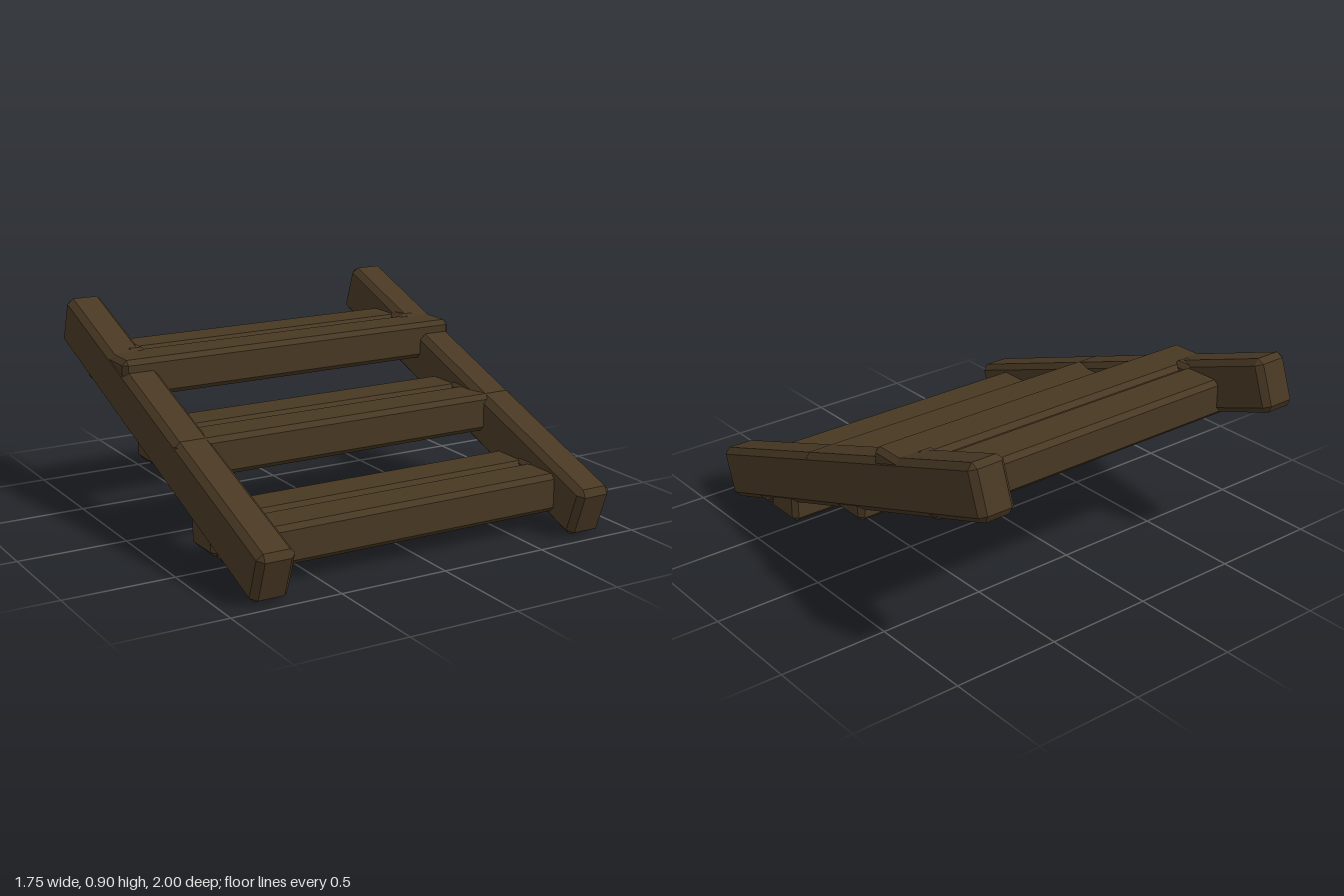
import * as THREE from 'three';
import { ConvexGeometry } from 'three/addons/geometries/ConvexGeometry.js';

// Box with 45 degree chamfers on every edge, flat faced
function chamferBox(w, h, d, c) {
  const points = [];
  for (const x of [-1, 1]) for (const y of [-1, 1]) for (const z of [-1, 1]) {
    const [a, b, e] = [w / 2, h / 2, d / 2];
    points.push(
      new THREE.Vector3(x * a, y * (b - c), z * (e - c)),
      new THREE.Vector3(x * (a - c), y * b, z * (e - c)),
      new THREE.Vector3(x * (a - c), y * (b - c), z * e)
    );
  }
  return new ConvexGeometry(points);
}

export function createModel() {
  const model = new THREE.Group();
  model.name = 'woodenSteps';
  const wood = new THREE.MeshStandardMaterial({ color: 0x483823 });
  wood.name = 'darkWood';
  wood.flatShading = true;

  const add = (name, geometry, x, y, z) => {
    const mesh = new THREE.Mesh(geometry, wood);
    mesh.name = name;
    mesh.position.set(x, y, z);
    model.add(mesh);
    return mesh;
  };

  // Sloping side rails, rising towards the back
  const railGeometry = chamferBox(0.174, 0.243, 2.058, 0.027);
  for (const side of [-1, 1]) {
    const rail = add(side > 0 ? 'leftRail' : 'rightRail', railGeometry, side * 0.787, 0.45, 0);
    rail.rotation.x = THREE.MathUtils.degToRad(19.6);
  }

  // Level steps: two planks each, running through the rails
  const plankGeometry = chamferBox(1.74, 0.175, 0.208, 0.022);
  const cleatGeometry = chamferBox(0.1, 0.17, 0.12, 0.022);
  const steps = [
    { y: 0.168, z: 0.598 },
    { y: 0.405, z: 0.056 },
    { y: 0.643, z: -0.486 },
  ];
  steps.forEach(({ y, z }, i) => {
    add(`step${i + 1}FrontPlank`, plankGeometry, 0, y, z + 0.114);
    add(`step${i + 1}BackPlank`, plankGeometry, 0, y, z - 0.114);
    // Small cleats bridging the gap against the inner rail faces
    for (const side of [-1, 1]) {
      add(`step${i + 1}${side > 0 ? 'Left' : 'Right'}Cleat`, cleatGeometry, side * 0.733, y + 0.015, z);
    }
  });

  return model;
}
